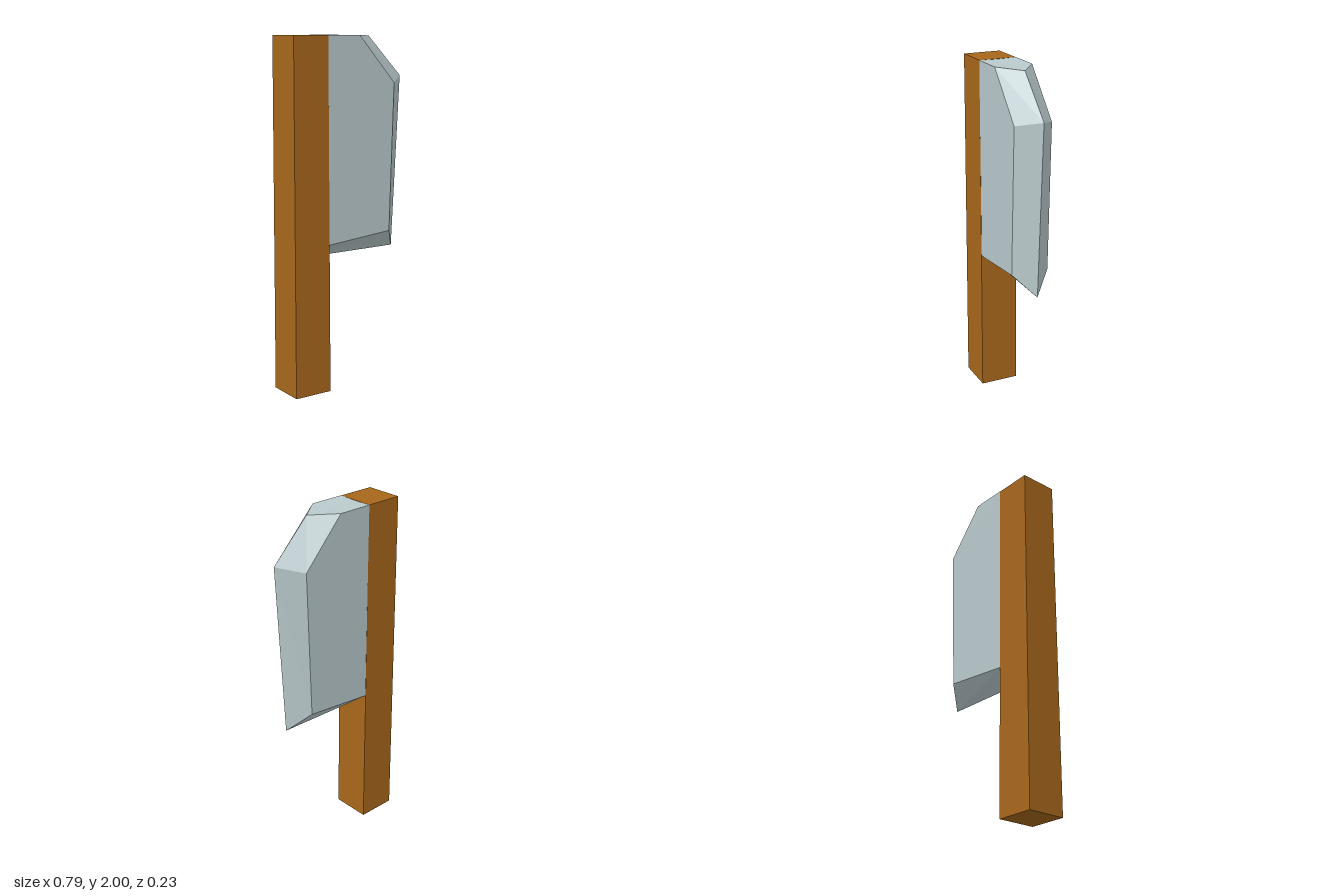
import * as THREE from 'three';

// Skin a stack of matching clockwise loops, ordered front to back, and cap both ends
function skinLoops(loops) {
  const n = loops[0].length;
  const positions = loops.flat(2);
  const index = [];
  for (let k = 0; k < loops.length - 1; k++) {
    for (let i = 0; i < n; i++) {
      const j = (i + 1) % n;
      const a = k * n + i, b = k * n + j, c = a + n, d = b + n;
      index.push(a, b, d, a, d, c);
    }
  }
  const last = (loops.length - 1) * n;
  for (let i = 1; i < n - 1; i++) {
    index.push(0, i + 1, i);
    index.push(last, last + i, last + i + 1);
  }
  const geometry = new THREE.BufferGeometry();
  geometry.setAttribute('position', new THREE.Float32BufferAttribute(positions, 3));
  geometry.setIndex(index);
  const flat = geometry.toNonIndexed();
  flat.computeVertexNormals();
  return flat;
}

export function createModel() {
  const model = new THREE.Group();
  model.name = 'cleaver';

  // Square wooden handle, very slightly wider at the foot
  const handleGeometry = new THREE.CylinderGeometry(0.109 * Math.SQRT2, 0.114 * Math.SQRT2, 2, 4);
  handleGeometry.rotateY(Math.PI / 4);
  const handle = new THREE.Mesh(
    handleGeometry,
    new THREE.MeshStandardMaterial({ color: 0xa8671b, flatShading: true })
  );
  handle.name = 'handle';
  handle.position.set(-0.283, 1, 0);
  model.add(handle);

  // Blade: flat cheeks bevelled out to a sharp edge in the middle plane
  const cheek = [[-0.174, 2], [0.03, 2], [0.27, 1.735], [0.242, 0.887], [-0.172, 0.85]];
  const edge = [[-0.174, 1.998], [0.17, 1.996], [0.394, 1.77], [0.34, 0.772], [-0.172, 0.772]];
  const at = (outline, z) => outline.map(([x, y]) => [x, y, z]);
  const blade = new THREE.Mesh(
    skinLoops([at(cheek, 0.11), at(edge, 0), at(cheek, -0.11)]),
    new THREE.MeshStandardMaterial({ color: 0xbacacd, flatShading: true })
  );
  blade.name = 'blade';
  model.add(blade);

  return model;
}
